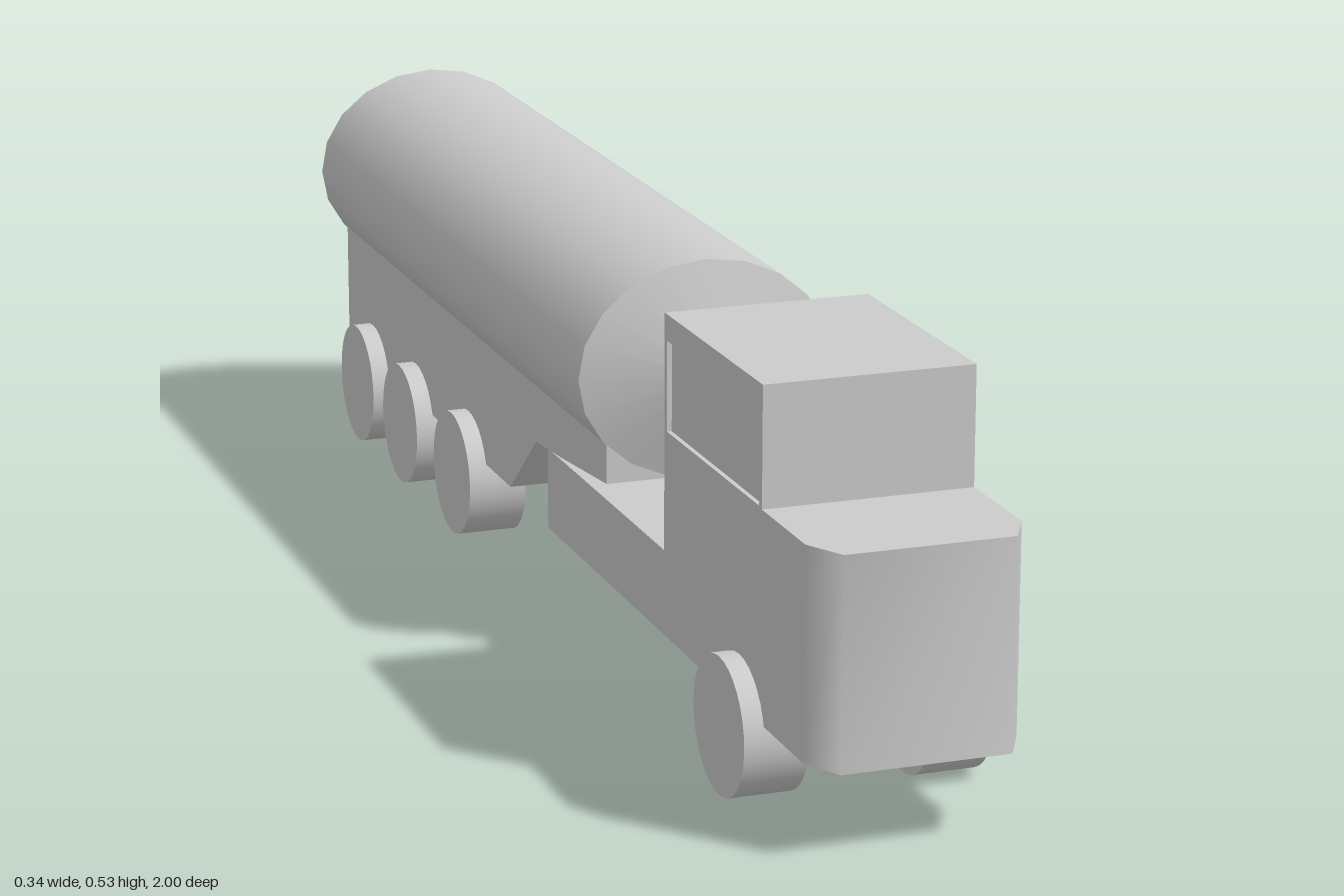
import * as THREE from 'three';

const grey = new THREE.MeshStandardMaterial({ color: 0xcccccc });
const HALF = 0.133; // half width of the bodywork
const INSET = 0.006; // depth of the side windows

function add(parent, name, geometry) {
  const mesh = new THREE.Mesh(geometry, grey);
  mesh.name = name;
  parent.add(mesh);
  return mesh;
}

const outline = (points) => new THREE.Shape(points.map(([a, b]) => new THREE.Vector2(a, b)));

// Side profile given as (z, y), extruded across the width from x0 to x1
function sideExtrude(shape, x0, x1) {
  const g = new THREE.ExtrudeGeometry(shape, { depth: x1 - x0, bevelEnabled: false });
  return g.rotateY(-Math.PI / 2).scale(1, 1, 1).translate(x1, 0, 0);
}

function makeTruck() {
  const truck = new THREE.Group();
  truck.name = 'truck';
  const profile = [
    [0.95, 0.112], [0.95, 0.375], [0.812, 0.375], [0.812, 0.525],
    [0.475, 0.525], [0.475, 0.222], [0.015, 0.222], [0.015, 0.112],
  ];
  add(truck, 'cabAndFrame', sideExtrude(outline(profile), -HALF + INSET, HALF - INSET));

  // Side skins with a window opening: short on the left, long on the right
  for (const [name, x0, zBack] of [['leftSkin', HALF - INSET, 0.64], ['rightSkin', -HALF, 0.485]]) {
    const skin = outline(profile);
    skin.holes.push(new THREE.Path([[zBack, 0.377], [0.803, 0.377], [0.803, 0.492], [zBack, 0.492]]
      .map(([z, y]) => new THREE.Vector2(z, y))));
    add(truck, name, sideExtrude(skin, x0, x0 + INSET));
  }

  // Nose: smooth wrap around the two front corners, closed above and below
  const plan = [[-HALF, 0.95], [-0.106, 1], [0.106, 1], [HALF, 0.95]];
  const wrap = new THREE.PlaneGeometry(1, 1, 3, 1);
  const p = wrap.attributes.position;
  for (let i = 0; i < p.count; i++) {
    const [x, z] = plan[i % 4];
    p.setXYZ(i, x, i < 4 ? 0.375 : 0.112, z);
  }
  wrap.computeVertexNormals();
  add(truck, 'nose', wrap);
  const lid = new THREE.ShapeGeometry(outline(plan.map(([x, z]) => [x, -z])));
  add(truck, 'noseTop', lid.clone().rotateX(-Math.PI / 2).translate(0, 0.375, 0));
  const base = new THREE.ShapeGeometry(outline(plan));
  add(truck, 'noseBottom', base.rotateX(Math.PI / 2).translate(0, 0.112, 0));
  return truck;
}

function makeTrailer() {
  const trailer = new THREE.Group();
  trailer.name = 'trailer';

  // Oval tank with shallow pointed ends
  const R = 0.171, squash = 0.144 / R, front = 0.258, back = -0.955;
  const place = (g, z) => g.scale(1, squash, 1).translate(0, 0.384, z);
  add(trailer, 'tank', place(
    new THREE.CylinderGeometry(R, R, front - back, 20, 1, true).rotateX(Math.PI / 2), (front + back) / 2));
  const cap = () => new THREE.ConeGeometry(R, 0.043, 20, 1, true);
  add(trailer, 'tankFront', place(cap().rotateX(Math.PI / 2), front + 0.0215));
  add(trailer, 'tankBack', place(cap().rotateX(-Math.PI / 2), back - 0.0215));

  // Chassis below the tank, stepped up over the coupling
  add(trailer, 'chassis', sideExtrude(outline([
    [0.256, 0.297], [0.256, 0.243], [0.07, 0.225], [-0.035, 0.217],
    [-0.15, 0.12], [-0.955, 0.12], [-0.955, 0.297],
  ]), -HALF, HALF));
  return trailer;
}

export function createModel() {
  const model = new THREE.Group();
  model.name = 'tankerTruck';
  model.add(makeTruck(), makeTrailer());

  // Four pairs of wheels
  const wheel = new THREE.CylinderGeometry(0.087, 0.087, 0.081, 32).rotateZ(Math.PI / 2);
  [0.74, -0.342, -0.599, -0.824].forEach((z, i) => {
    for (const side of [1, -1]) {
      const name = (side > 0 ? 'left' : 'right') + 'Wheel' + (i + 1);
      add(model, name, wheel).position.set(side * 0.118, 0.088, z);
    }
  });
  return model;
}
